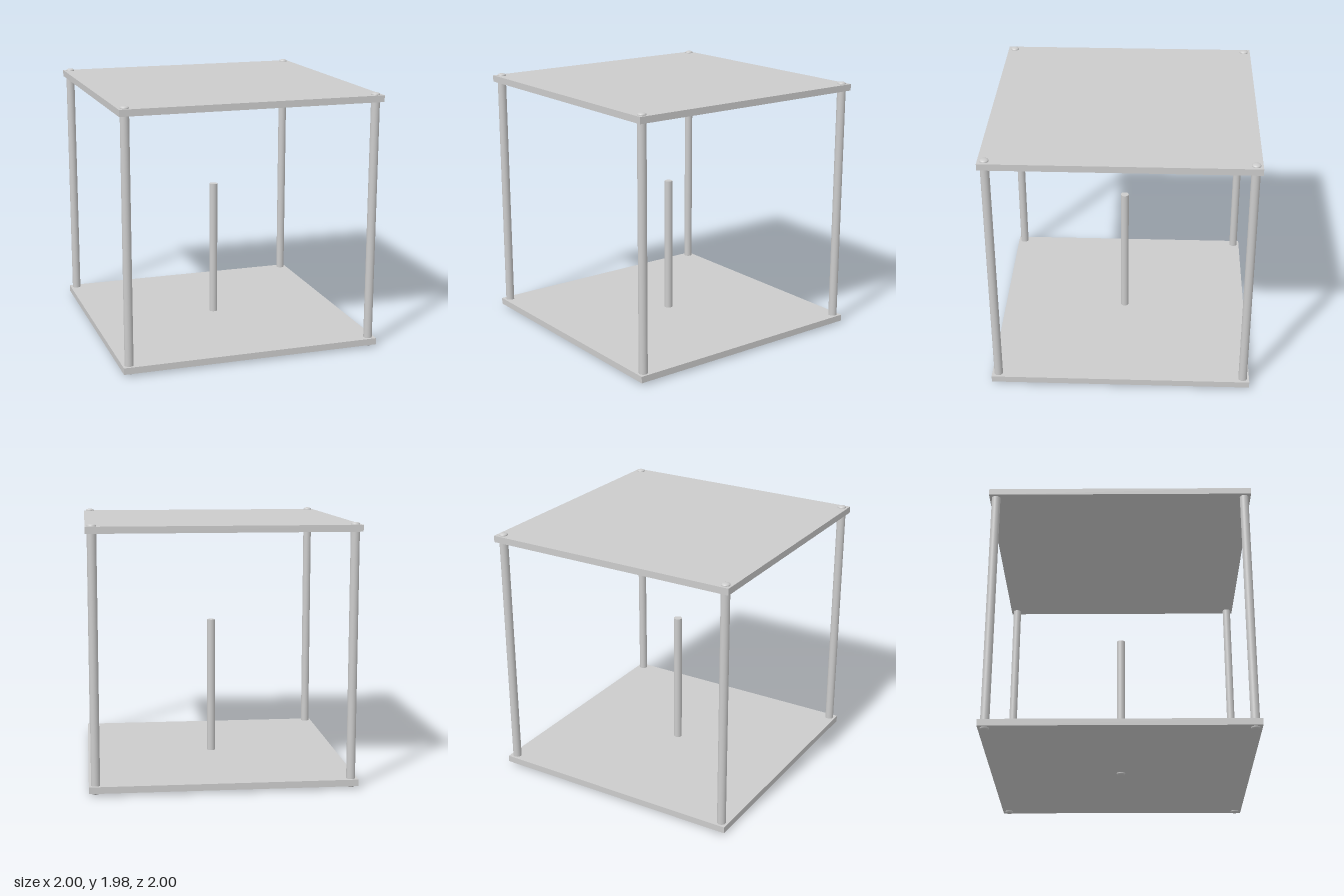
import * as THREE from 'three';

const material = new THREE.MeshStandardMaterial({ color: 0xcccccc });

export function createModel() {
  const group = new THREE.Group();
  const add = (name, geometry, x, y, z) => {
    const mesh = new THREE.Mesh(geometry, material);
    mesh.name = name;
    mesh.position.set(x, y, z);
    group.add(mesh);
    return mesh;
  };

  // Square plates
  const plateBottom = 0.02, plateTop = 0.07, roofBottom = 1.915, roofTop = 1.965;
  const plate = new THREE.BoxGeometry(2, plateTop - plateBottom, 2);
  add('basePlate', plate, 0, (plateBottom + plateTop) / 2, 0);
  add('topPlate', plate, 0, (roofBottom + roofTop) / 2, 0);

  // Low domed screw head: short rim, then a shallow arc to the axis
  const profile = [new THREE.Vector2(0.033, 0)];
  for (let i = 0; i <= 6; i++) {
    const a = (i / 6) * Math.PI / 2;
    profile.push(new THREE.Vector2(0.033 * Math.cos(a), 0.004 + 0.014 * Math.sin(a)));
  }
  const head = new THREE.LatheGeometry(profile, 32);
  const addHead = (name, x, y, z, down) => {
    const mesh = add(name, head, x, y, z);
    if (down) mesh.rotation.x = Math.PI;
  };

  // Corner posts with a screw head at each end
  const postHeight = roofBottom - plateTop;
  const post = new THREE.CylinderGeometry(0.033, 0.033, postHeight, 32);
  for (const x of [-0.95, 0.95]) {
    for (const z of [-0.95, 0.95]) {
      add('cornerPost', post, x, plateTop + postHeight / 2, z);
      addHead('topScrewHead', x, roofTop, z, false);
      addHead('bottomScrewHead', x, plateBottom, z, true);
    }
  }

  // Central rod of stacked sections, screwed on from below
  const joints = [plateTop, 0.26, 0.65, 0.9, 1.145];
  for (let i = 0; i < joints.length - 1; i++) {
    const h = joints[i + 1] - joints[i];
    add('rodSection', new THREE.CylinderGeometry(0.032, 0.032, h, 32), 0, joints[i] + h / 2, 0);
  }
  addHead('rodScrewHead', 0, plateBottom, 0, true);

  return group;
}
